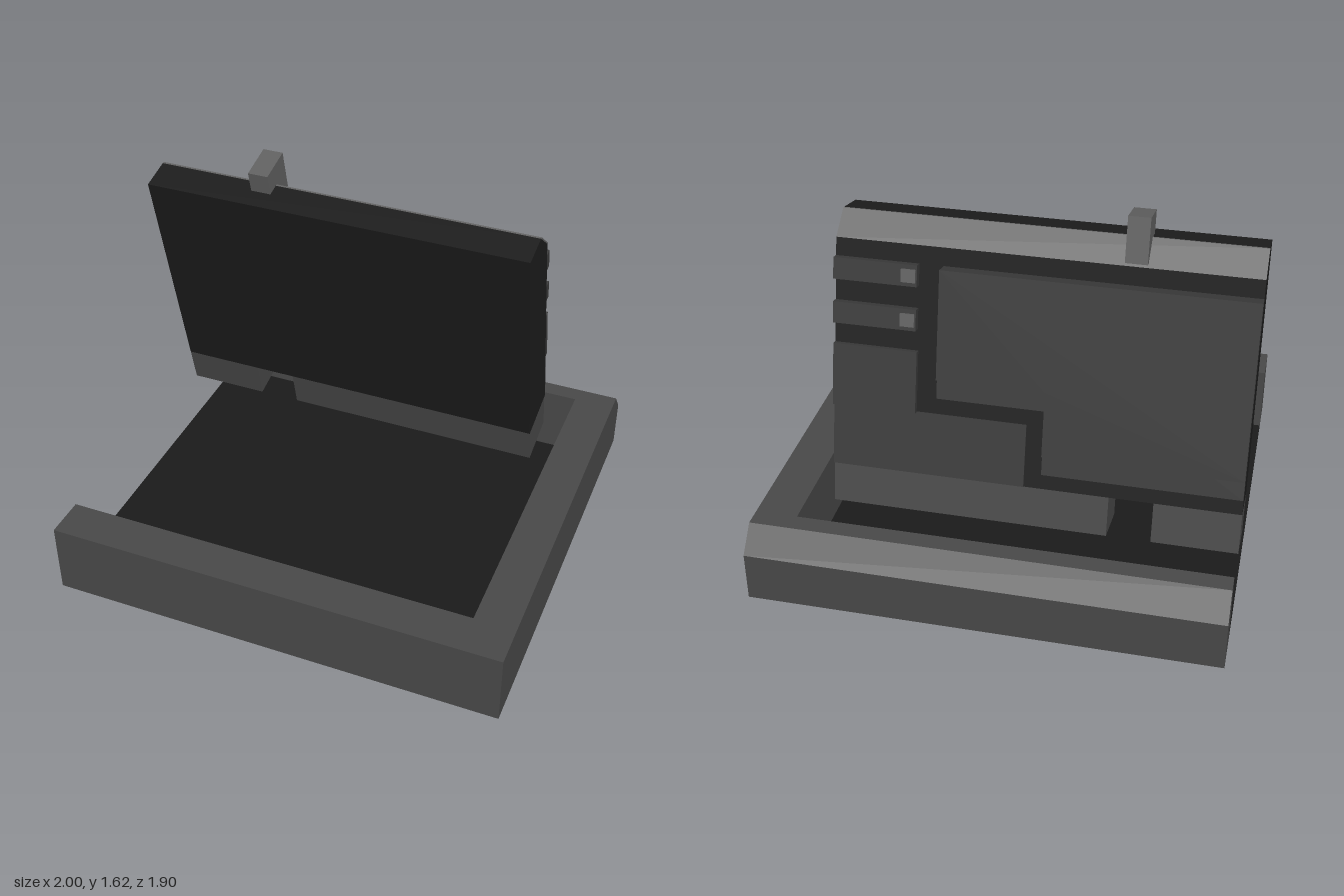
import * as THREE from 'three';

const paint = (color) => new THREE.MeshStandardMaterial({ color, flatShading: true });
const frameMat = paint(0x484848);
const darkMat = paint(0x1c1c1c);
const floorMat = paint(0x1a1a1a);
const detailMat = paint(0x3a3a3a);
const lightMat = paint(0x606060);

function add(parent, name, geometry, material) {
  const mesh = new THREE.Mesh(geometry, material);
  mesh.name = name;
  parent.add(mesh);
  return mesh;
}

// Box given by its limits on each axis
function box(parent, name, mat, [x0, x1], [y0, y1], [z0, z1]) {
  const g = new THREE.BoxGeometry(x1 - x0, y1 - y0, z1 - z0);
  g.translate((x0 + x1) / 2, (y0 + y1) / 2, (z0 + z1) / 2);
  return add(parent, name, g, mat);
}

const toShape = (pts) => new THREE.Shape(pts.map(([a, b]) => new THREE.Vector2(a, b)));

// Side profile of (distance towards the back, height) points, swept along x
function sweepX(parent, name, mat, pts, x0, x1) {
  const g = new THREE.ExtrudeGeometry(toShape(pts), { depth: x1 - x0, bevelEnabled: false });
  g.rotateY(Math.PI / 2);
  g.translate(x0, 0, 0);
  return add(parent, name, g, mat);
}

function buildTray() {
  const tray = new THREE.Group();
  tray.name = 'tray';
  const h = 0.325;
  box(tray, 'trayFrontWall', frameMat, [-1, 1], [0, h], [0.77, 0.95]);
  box(tray, 'traySideWall', frameMat, [0.82, 1], [0, h], [-0.78, 0.77]);
  sweepX(tray, 'trayBackWall', frameMat,
    [[0.78, 0], [0.95, 0], [0.95, 0.22], [0.86, h], [0.78, h]], -1, 1);
  box(tray, 'trayFloor', floorMat, [-1, 0.82], [0.002, 0.02], [-0.78, 0.77]);
  return tray;
}

function buildPanel() {
  // Local frame: origin on the top front edge, -y runs down the panel, -z into it
  const panel = new THREE.Group();
  panel.name = 'tiltedPanel';
  const left = -1, right = 0.72, bottom = 1.083, depth = 0.238;

  // Box spanning v (down the panel) and u (towards the back)
  const slab = (name, mat, x, [v0, v1], [u0, u1]) =>
    box(panel, name, mat, x, [-v1, -v0], [-u1, -u0]);

  // Body with a lighter chamfer along the top back edge
  sweepX(panel, 'panelBody', darkMat,
    [[0, -bottom], [depth, -bottom], [depth, -0.104], [0.23, -0.104], [0.145, 0], [0, 0]], left, right);
  sweepX(panel, 'panelChamfer', lightMat,
    [[0.145, 0], [0.23, -0.104], [depth, -0.104], [0.154, 0]], left, right);

  // Feet with the gap between them, and the plate above the wide one
  slab('narrowFoot', frameMat, [left, -0.64], [bottom, 1.26], [0, 0.226]);
  slab('wideFoot', frameMat, [-0.455, right], [bottom, 1.26], [0, 0.226]);
  slab('lowerBackPlate', detailMat, [-0.1, right], [0.81, bottom], [0.23, 0.243]);

  // Tab on the top edge
  slab('topTab', lightMat, [-0.545, -0.455], [-0.097, 0.09], [0.087, 0.25]);

  // Two stepped layers of the back cover; the inner one reaches further down
  for (const [name, drop, u0, u1] of [
    ['backCoverInner', 0.085, 0.23, 0.288],
    ['backCoverOuter', 0, 0.288, 0.306],
  ]) {
    const g = new THREE.ExtrudeGeometry(toShape([
      [left, -0.915 - drop], [-0.18, -0.915 - drop], [-0.18, -0.64 - drop],
      [0.27, -0.64 - drop], [0.27, -0.18], [left, -0.18],
    ]), { depth: u1 - u0, bevelEnabled: false });
    g.translate(0, 0, -u1);
    add(panel, name, g, detailMat);
  }

  // Side bars with small end blocks, and the larger block under them
  for (const v of [0.18, 0.365]) {
    slab('sideBar', detailMat, [0.37, right], [v, v + 0.09], [0.23, 0.272]);
    slab('sideBarEnd', lightMat, [0.375, 0.435], [v + 0.018, v + 0.072], [0.26, 0.282]);
  }
  slab('sideBlock', detailMat, [0.365, right], [0.546, 0.813], [0.23, 0.263]);

  panel.rotation.x = 0.234;
  panel.position.set(0, 1.468, -0.082);
  return panel;
}

export function createModel() {
  const model = new THREE.Group();
  model.name = 'trayWithTiltedPanel';
  model.add(buildTray(), buildPanel());
  return model;
}
